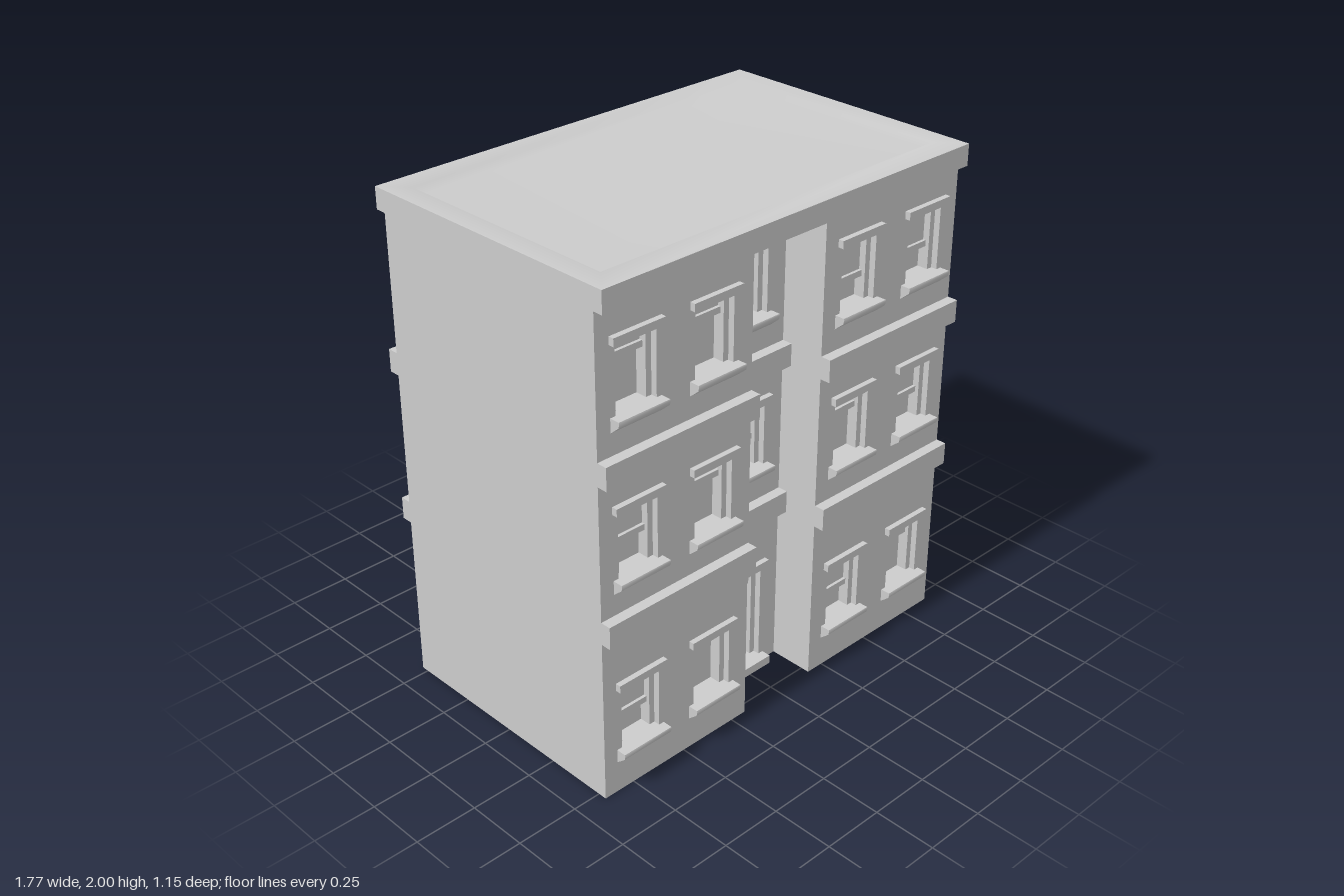
import * as THREE from 'three';
import { toCreasedNormals } from 'three/addons/utils/BufferGeometryUtils.js';

const stone = new THREE.MeshStandardMaterial({ color: 0xcccccc });
stone.name = 'grey stone';

const W = 0.885, BACK = -0.53, FRONT = 0.535, RECESS = 0.35, WALL = 0.07;
const BAND = 0.042, HALF = 0.09;
const DOOR_BASE = 0.035;

function add(parent, name, geometry) {
  const mesh = new THREE.Mesh(geometry, stone);
  mesh.name = name;
  parent.add(mesh);
  return mesh;
}

// Box given by its minimum and maximum on each axis
function box(parent, name, x0, x1, y0, y1, z0, z1) {
  const g = new THREE.BoxGeometry(x1 - x0, y1 - y0, z1 - z0);
  g.translate((x0 + x1) / 2, (y0 + y1) / 2, (z0 + z1) / 2);
  return add(parent, name, g);
}

function rectangle(Type, x0, x1, y0, y1) {
  const p = new Type();
  p.moveTo(x0, y0);
  p.lineTo(x1, y0);
  p.lineTo(x1, y1);
  p.lineTo(x0, y1);
  p.closePath();
  return p;
}

// Sill with a sloping underside, softly shaded along its front
function sill(parent, y0, y1) {
  const s = new THREE.Shape();
  s.moveTo(0, y0);
  s.lineTo(BAND - 0.004, y0 + 0.033);
  s.lineTo(BAND, y1 - 0.006);
  s.lineTo(BAND - 0.002, y1);
  s.lineTo(0, y1);
  s.closePath();
  const g = new THREE.ExtrudeGeometry(s, { depth: 0.225, bevelEnabled: false });
  g.rotateY(-Math.PI / 2);
  // the profile now points towards +z, with its length along -x
  g.translate(0.1125, 0, 0);
  add(parent, 'sill', toCreasedNormals(g, 1.05));
}

// Frame, pane and blind of an opening, with z = 0 on the wall face
function fitting(parent, y0, y1, rail) {
  for (const side of [-1, 1]) {
    const a = side * HALF, b = side * 0.066;
    box(parent, 'jamb', Math.min(a, b), Math.max(a, b), y0, y1, -WALL, -0.025);
  }
  box(parent, 'lintel', -0.1125, 0.1125, y1, y1 + 0.03, -0.01, 0.022);
  if (rail) {
    box(parent, 'sashRail', -0.066, 0.066, rail, rail + 0.024, -WALL, -0.04);
    box(parent, 'upperSash', -0.066, 0.066, rail + 0.024, y1, -WALL, -0.052);
  }
}

function windowUnit(parent, x, top, rail, z) {
  const g = new THREE.Group();
  g.name = 'window';
  g.position.set(x, 0, z);
  fitting(g, top - 0.29, top - 0.03, rail);
  sill(g, top - 0.345, top - 0.29);
  parent.add(g);
}

function doorUnit(parent, x, z) {
  const g = new THREE.Group();
  g.name = 'door';
  g.position.set(x, 0, z);
  fitting(g, DOOR_BASE, 0.445, 0.36);
  box(g, 'doorstep', -0.1125, 0.1125, 0, DOOR_BASE, -WALL, 0.04);
  const knob = add(g, 'doorKnob', new THREE.SphereGeometry(0.013, 16, 12));
  knob.position.set(0.043, 0.164, -0.055);
  parent.add(g);
}

// Flat rim that drops into a shallow, smoothly shaded roof
function roofSurface() {
  const loops = [
    [W, 0.575, 2], [0.8, 0.475, 2], [0.795, 0.47, 1.965],
  ];
  const pos = [], index = [];
  for (const [x, z, y] of loops) pos.push(-x, y, z, x, y, z, x, y, -z, -x, y, -z);
  for (let l = 0; l < 2; l++) {
    for (let i = 0; i < 4; i++) {
      const a = l * 4 + i, b = l * 4 + (i + 1) % 4;
      index.push(a, b, b + 4, a, b + 4, a + 4);
    }
  }
  index.push(8, 9, 10, 8, 10, 11);
  const g = new THREE.BufferGeometry();
  g.setAttribute('position', new THREE.Float32BufferAttribute(pos, 3));
  g.setIndex(index);
  g.computeVertexNormals();
  return g;
}

export function createModel() {
  const model = new THREE.Group();
  model.name = 'apartmentBuilding';

  // Rows give the lintel top; rails give the sash height in each of five columns
  const columns = [-0.713, -0.36, -0.003, 0.353, 0.71];
  const rows = [
    { top: 0.475, rails: [0.28, 0.38, 0, 0.28, 0.36] },
    { top: 1.19, rails: [1.005, 1.072, 1.0, 1.072, 1.0] },
    { top: 1.81, rails: [1.697, 1.697, 0, 1.602, 1.608] },
  ];
  const bays = [
    { name: 'rightBay', x0: -W, x1: -0.18, z: FRONT, cols: [0, 1] },
    { name: 'entranceBay', x0: -0.18, x1: 0.175, z: RECESS, cols: [2] },
    { name: 'leftBay', x0: 0.175, x1: W, z: FRONT, cols: [3, 4] },
  ];
  const bands = [[0.67, 0.76], [1.29, 1.38]];
  const bodyTop = 1.93;

  for (const bay of bays) {
    const g = new THREE.Group();
    g.name = bay.name;
    model.add(g);
    box(g, 'core', bay.x0, bay.x1, 0, bodyTop, BACK, bay.z - WALL);

    // Front wall pierced by the openings
    const wall = rectangle(THREE.Shape, bay.x0, bay.x1, 0, bodyTop);
    rows.forEach((row, r) => {
      for (const c of bay.cols) {
        const x = columns[c];
        const isDoor = r === 0 && c === 2;
        const y0 = isDoor ? DOOR_BASE : row.top - 0.29;
        wall.holes.push(rectangle(THREE.Path, x - HALF, x + HALF, y0, row.top - 0.03));
        if (isDoor) doorUnit(g, x, bay.z);
        else windowUnit(g, x, row.top, row.rails[c], bay.z);
      }
    });
    const wallGeo = new THREE.ExtrudeGeometry(wall, { depth: WALL, bevelEnabled: false });
    wallGeo.translate(0, 0, bay.z - WALL);
    add(g, 'frontWall', wallGeo);

    // Storey bands follow the front of each bay
    for (const [y0, y1] of bands) {
      box(g, 'frontBand', bay.x0, bay.x1, y0, y1, bay.z - 0.01, bay.z + BAND);
    }
  }

  for (const [y0, y1] of bands) box(model, 'rearBand', -W, W, y0, y1, -0.575, BACK + 0.01);

  // Cornice without its top face, which the roof replaces
  const cornice = box(model, 'cornice', -W, W, 1.915, 2, -0.575, 0.575).geometry;
  cornice.setIndex(Array.from(cornice.index.array).filter((_, i) => i < 12 || i > 17));
  cornice.clearGroups();
  add(model, 'roof', roofSurface());

  return model;
}
